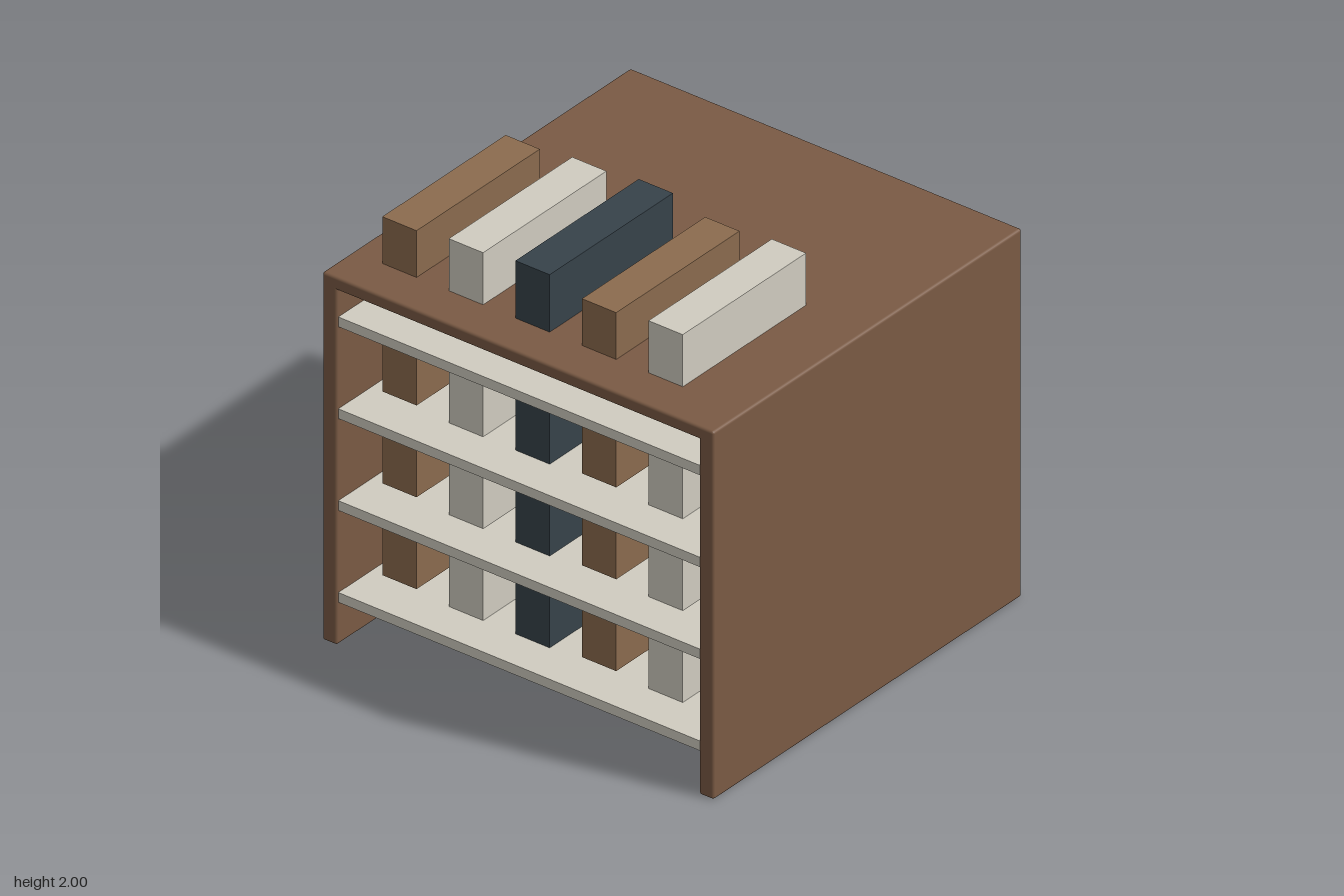
import * as THREE from 'three';
import { RoundedBoxGeometry } from 'three/addons/geometries/RoundedBoxGeometry.js';

const mat = (color) => new THREE.MeshStandardMaterial({ color });
const wood = mat(0x7a5a44);
const cream = mat(0xd0ccc0);
const tan = mat(0x8b6b4e);
const slate = mat(0x36424a);

export function createModel() {
  const model = new THREE.Group();
  model.name = 'bookcase';

  // Box given by its lower and upper corners, optionally with softened edges
  function box(name, material, min, max, radius = 0) {
    const size = max.map((v, i) => v - min[i]);
    const geometry = radius
      ? new RoundedBoxGeometry(...size, 2, radius)
      : new THREE.BoxGeometry(...size);
    const mesh = new THREE.Mesh(geometry, material);
    mesh.position.set(...max.map((v, i) => (v + min[i]) / 2));
    mesh.name = name;
    model.add(mesh);
  }

  // Open-fronted, open-bottomed cabinet
  box('rightPanel', wood, [-1, 0, -1], [-0.925, 1.73, 1], 0.012);
  box('leftPanel', wood, [0.925, 0, -1], [1, 1.73, 1], 0.012);
  box('topPanel', wood, [-1, 1.67, -1], [1, 1.73, 1], 0.012);
  box('backPanel', wood, [-1, 0, -1], [1, 1.73, -0.9], 0.012);

  // Book styles across each row: material and height
  const books = [
    [tan, 0.39], [cream, 0.44], [slate, 0.49], [tan, 0.39], [cream, 0.44],
  ];

  // Four shelves, each with a row of books; the top row pokes through the lid
  for (let row = 0; row < 4; row++) {
    const y = 0.222 + row * 0.432;
    box(`shelf${row + 1}`, cream, [-0.925, y - 0.023, -0.92], [0.925, y + 0.023, 0.99]);
    books.forEach(([material, height], i) => {
      const x = -0.7625 + i * 0.34;
      const mid = y + 0.237;
      box(`book${row + 1}_${i + 1}`, material,
        [x - 0.0875, mid - height / 2, 0], [x + 0.0875, mid + height / 2, 0.8]);
    });
  }

  return model;
}
